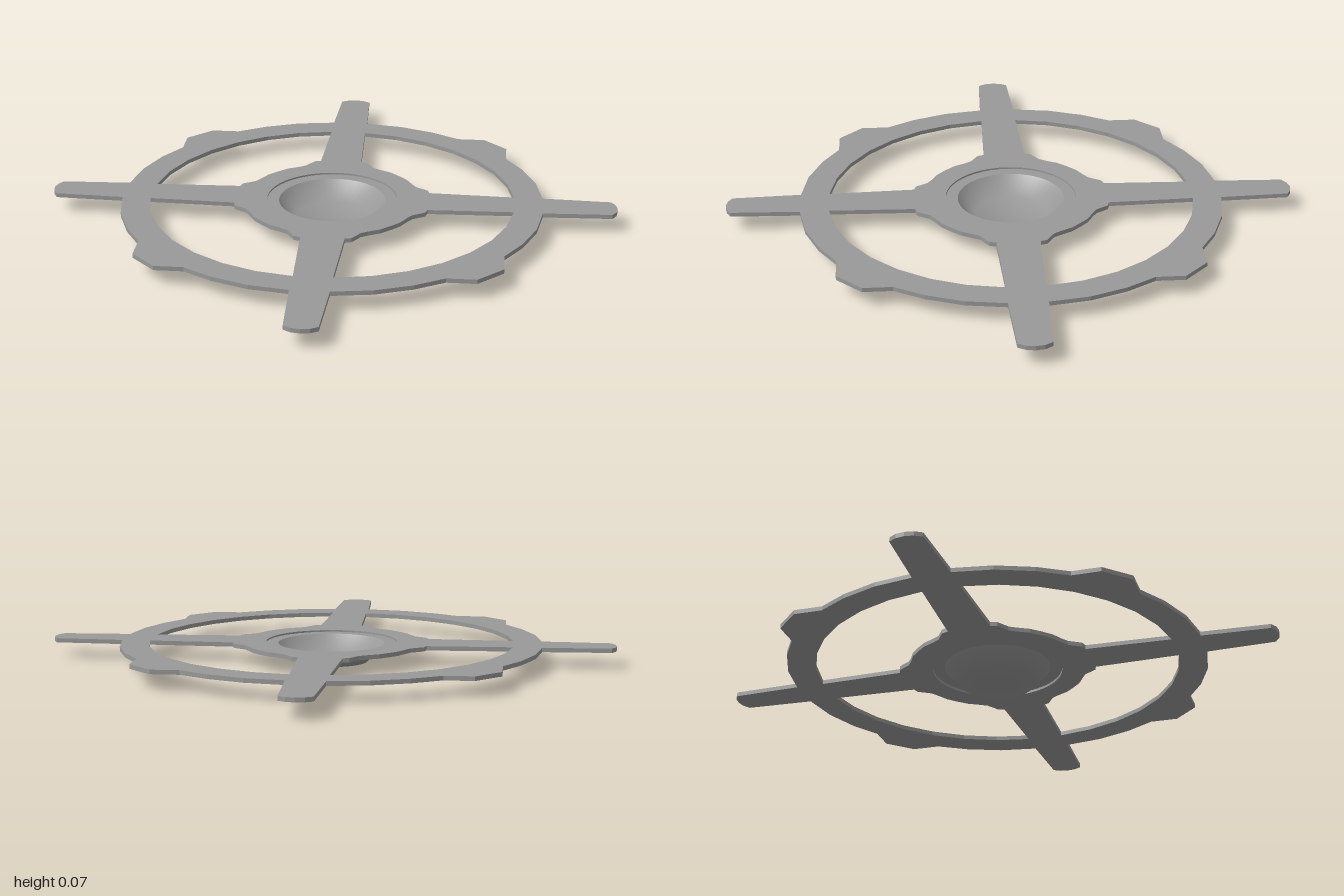
import * as THREE from 'three';

const PLATE_BOTTOM = 0.056, PLATE_TOP = 0.071, SEAT = 0.065;

// One quarter of the outer edge, from the +x arm tip round to the +y arm
const outerQuarter = [
  [0.995, 0.03], [0.98, 0.055], [0.74, 0.065], [0.718, 0.2], [0.67, 0.325], [0.61, 0.425],
  [0.61, 0.525], [0.525, 0.61], [0.425, 0.61], [0.325, 0.67], [0.2, 0.718], [0.065, 0.74],
  [0.055, 0.98], [0.03, 0.995],
];
// Stepped hub edge between two arms, up to the diagonal
const hubSteps = [
  [0.34, 0.075], [0.333, 0.098], [0.29, 0.125], [0.275, 0.148], [0.252, 0.19], [0.222, 0.222],
];

// Turn a point by k quarter turns
function turn([x, y], k) {
  const a = k * Math.PI / 2, c = Math.round(Math.cos(a)), s = Math.round(Math.sin(a));
  return new THREE.Vector2(x * c - y * s, x * s + y * c);
}

function makePlate() {
  const outline = [];
  for (let k = 0; k < 4; k++) {
    outerQuarter.forEach((p) => outline.push(turn(p, k)));
    outline.push(turn([0, 1], k)); // arm tip
  }
  const shape = new THREE.Shape(outline);

  // Four windows: faceted rim arc outside, stepped hub inside
  const windowPts = [];
  for (let i = 0; i < 8; i++) {
    const a = THREE.MathUtils.degToRad(5.8 + i * (78.4 / 7));
    windowPts.push([0.643 * Math.cos(a), 0.643 * Math.sin(a)]);
  }
  const mirrored = hubSteps.slice(0, -1).map(([x, y]) => [y, x]);
  windowPts.push(...mirrored, ...hubSteps.slice().reverse());
  for (let k = 0; k < 4; k++) {
    shape.holes.push(new THREE.Path(windowPts.map((p) => turn(p, k))));
  }

  // Round opening for the dish
  shape.holes.push(new THREE.Path().absarc(0, 0, 0.23, 0, Math.PI * 2, true));

  const geo = new THREE.ExtrudeGeometry(shape, {
    depth: PLATE_TOP - PLATE_BOTTOM, bevelEnabled: false, curveSegments: 24,
  });
  geo.rotateX(-Math.PI / 2);
  geo.translate(0, PLATE_BOTTOM, 0);
  return geo;
}

export function createModel() {
  const group = new THREE.Group();
  const grey = new THREE.MeshStandardMaterial({ color: 0x999999 });
  const thin = new THREE.MeshStandardMaterial({ color: 0x999999, side: THREE.DoubleSide });
  const add = (name, geo, mat) => {
    const mesh = new THREE.Mesh(geo, mat);
    mesh.name = name;
    group.add(mesh);
  };

  // Flat spoked wheel
  add('spokedPlate', makePlate(), grey);

  // Recessed ledge around the dish
  const ledge = new THREE.RingGeometry(0.188, 0.23, 48);
  ledge.rotateX(-Math.PI / 2);
  ledge.translate(0, SEAT, 0);
  add('dishLedge', ledge, thin);

  // Shallow smooth dish hanging below the plate
  const profile = [[0, 0], [0.128, 0], [0.188, SEAT]].map(([x, y]) => new THREE.Vector2(x, y));
  add('dish', new THREE.LatheGeometry(profile, 48), thin);

  return group;
}
